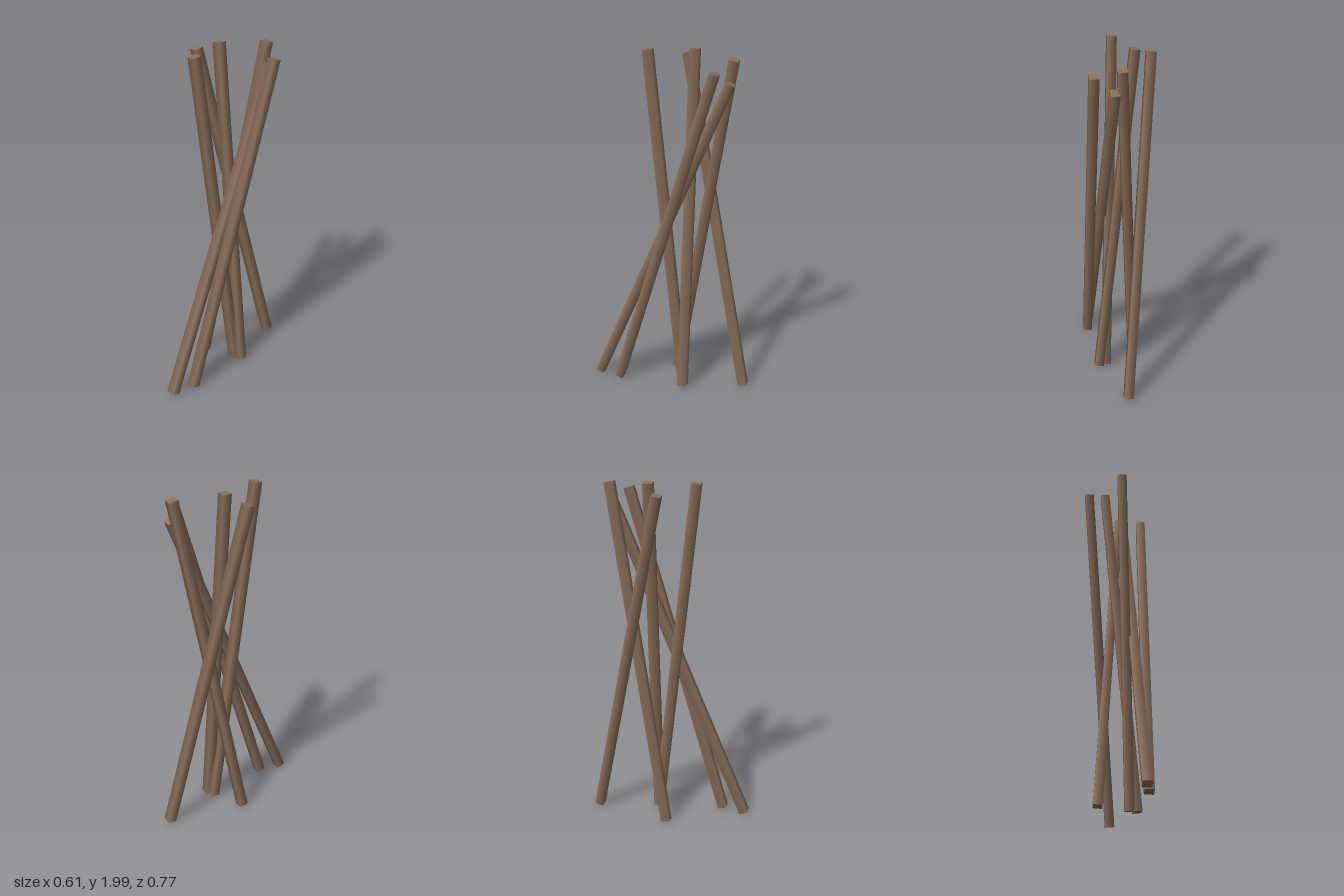
import * as THREE from 'three';

// Bundle of six leaning square poles, each given by its bottom and top centre
const POLES = [
  { bottom: [0.262, 0.01, -0.35], top: [-0.152, 1.95, -0.177] },
  { bottom: [-0.12, 0.01, -0.105], top: [0.223, 1.97, -0.26] },
  { bottom: [0.11, 0.012, -0.023], top: [-0.028, 1.995, -0.158] },
  { bottom: [0.07, 0.012, -0.045], top: [-0.14, 1.99, 0.073] },
  { bottom: [-0.268, 0.013, 0.348], top: [0.242, 1.85, -0.23] },
  { bottom: [-0.155, 0.013, 0.27], top: [0.268, 1.92, -0.118] },
];
const RADIUS = 0.036; // centre to corner

export function createModel() {
  const model = new THREE.Group();
  model.name = 'poleBundle';
  const wood = new THREE.MeshStandardMaterial({ color: 0x8b6f5a });
  wood.name = 'brown wood';
  const up = new THREE.Vector3(0, 1, 0);

  POLES.forEach(({ bottom, top }, i) => {
    const a = new THREE.Vector3(...bottom);
    const b = new THREE.Vector3(...top);
    const axis = b.clone().sub(a);
    // Four sides with softly rounded shading and flat end caps
    const pole = new THREE.Mesh(
      new THREE.CylinderGeometry(RADIUS, RADIUS, axis.length(), 4), wood);
    pole.name = `pole${i + 1}`;
    pole.position.copy(a).add(b).multiplyScalar(0.5);
    pole.quaternion.setFromUnitVectors(up, axis.normalize());
    model.add(pole);
  });
  return model;
}
